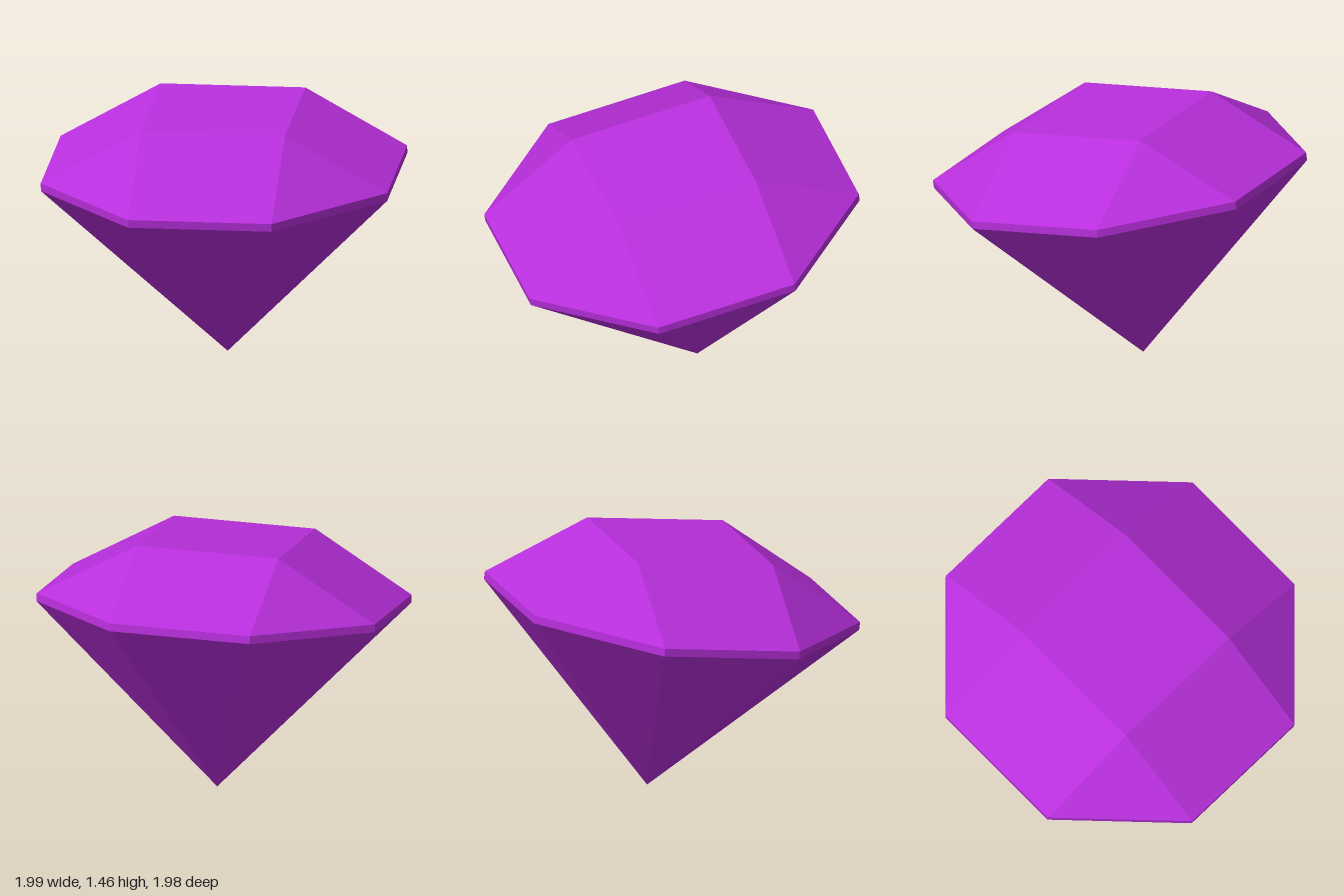
import * as THREE from 'three';

const GIRDLE_RADIUS = 1.05, TABLE_HALF = 0.405, TABLE_HEIGHT = 0.323, GIRDLE_DROP = 0.045, DEPTH = 1.095;

// Corners of a regular polygon lying flat at height y
function ring(sides, radius, y) {
  return Array.from({ length: sides }, (_, i) => {
    const a = ((i + 0.5) / sides) * Math.PI * 2;
    return new THREE.Vector3(Math.cos(a) * radius, y, Math.sin(a) * radius);
  });
}

// Flat facets, each a convex list of corners, fanned into triangles
function facetMesh(name, facets, material) {
  const points = [];
  for (const f of facets) {
    for (let i = 1; i < f.length - 1; i++) points.push(f[0], f[i], f[i + 1]);
  }
  const geometry = new THREE.BufferGeometry().setFromPoints(points);
  geometry.computeVertexNormals();
  const mesh = new THREE.Mesh(geometry, material);
  mesh.name = name;
  return mesh;
}

export function createModel() {
  const purple = new THREE.MeshStandardMaterial({ color: 0xb82fdc });
  purple.name = 'gem purple';

  const upper = ring(8, GIRDLE_RADIUS, 0);
  const lower = ring(8, GIRDLE_RADIUS, -GIRDLE_DROP);
  const table = ring(4, TABLE_HALF * Math.SQRT2, TABLE_HEIGHT);
  const tip = new THREE.Vector3(0, -DEPTH, 0);

  const crown = [], girdle = [], pavilion = [];
  for (let i = 0; i < 8; i++) {
    const j = (i + 1) % 8;
    const a = table[Math.floor(i / 2)], b = table[Math.floor(j / 2)];
    // Crown alternates corner triangles and side trapezoids
    crown.push(a === b ? [upper[i], a, upper[j]] : [upper[i], a, b, upper[j]]);
    girdle.push([lower[i], upper[i], upper[j], lower[j]]);
    pavilion.push([lower[i], lower[j], tip]);
  }

  const gem = new THREE.Group();
  gem.name = 'gem';
  gem.add(
    facetMesh('table', [[...table].reverse()], purple),
    facetMesh('crown', crown, purple),
    facetMesh('girdle', girdle, purple),
    facetMesh('pavilion', pavilion, purple),
  );
  // The cut stone leans forward and is turned slightly on its tip
  gem.rotation.set(0.138, -0.075, 0, 'YXZ');
  gem.position.y = DEPTH * Math.cos(0.138);

  const model = new THREE.Group();
  model.name = 'gemstone';
  model.add(gem);
  return model;
}
